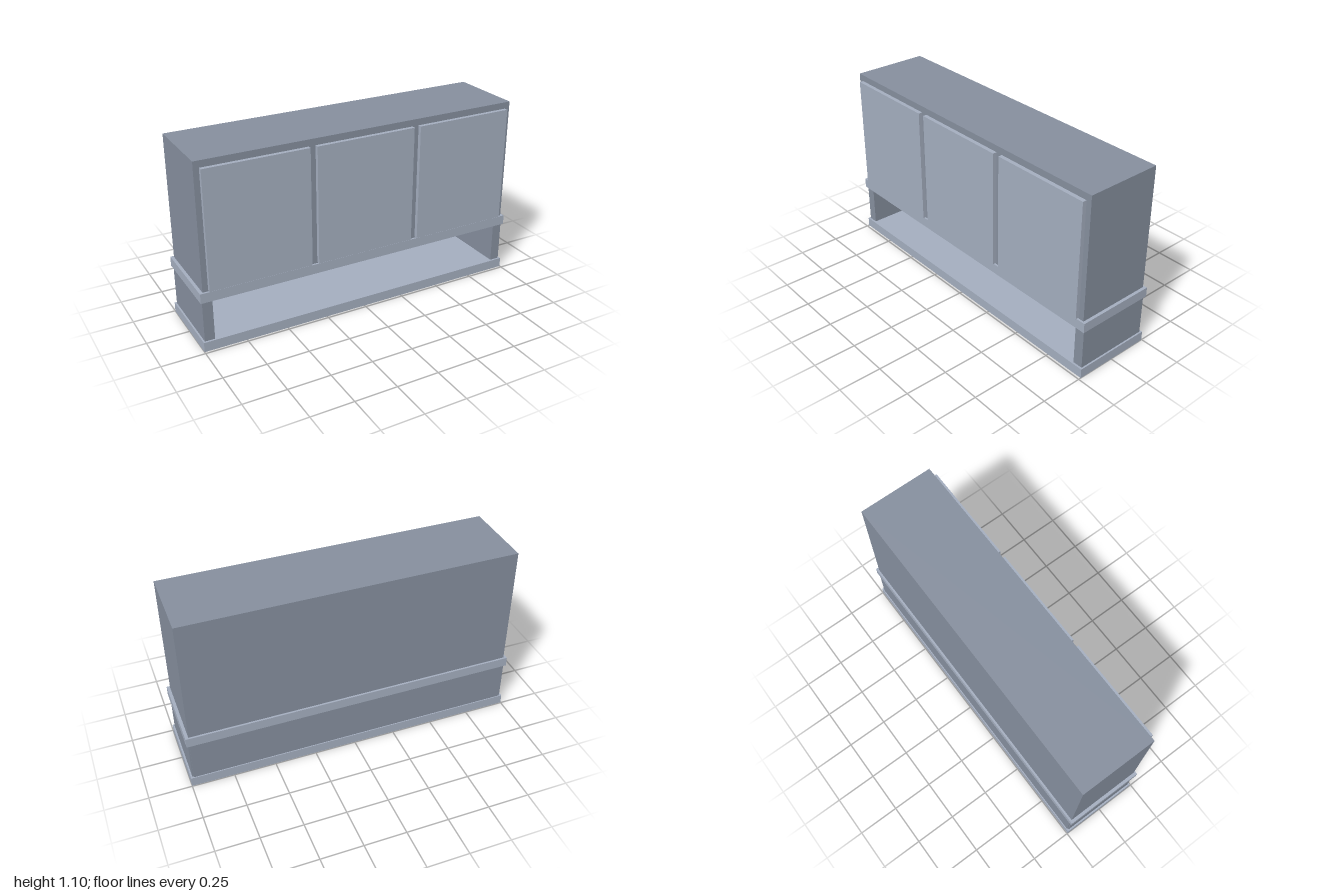
import * as THREE from 'three';

export function createModel() {
  const group = new THREE.Group();
  const light = new THREE.MeshStandardMaterial({ color: 0xa3adbe });
  const dark = new THREE.MeshStandardMaterial({ color: 0x858e9d });

  // Box given by its limits along each axis
  function addBox(name, material, [x0, x1], [y0, y1], [z0, z1]) {
    const mesh = new THREE.Mesh(new THREE.BoxGeometry(x1 - x0, y1 - y0, z1 - z0), material);
    mesh.name = name;
    mesh.position.set((x0 + x1) / 2, (y0 + y1) / 2, (z0 + z1) / 2);
    group.add(mesh);
  }

  const slabDepth = [-0.247, 0.235];
  const bodyDepth = [-0.235, 0.223];

  // Base and shelf slabs around the open compartment
  addBox('baseSlab', light, [-1, 1], [0, 0.058], slabDepth);
  addBox('shelfSlab', light, [-1, 1], [0.302, 0.36], slabDepth);

  // Compartment sides and thin back
  addBox('leftSidePanel', dark, [0.931, 0.99], [0.058, 0.302], bodyDepth);
  addBox('rightSidePanel', dark, [-0.99, -0.931], [0.058, 0.302], bodyDepth);
  addBox('backPanel', dark, [-0.982, 0.982], [0.058, 0.302], [-0.241, -0.229]);

  // Upper cabinet
  addBox('cabinetBody', dark, [-0.982, 0.982], [0.36, 1.102], bodyDepth);

  // Three equal doors standing proud of the front
  ['rightDoor', 'middleDoor', 'leftDoor'].forEach((name, i) => {
    const x = (i - 1) * 0.647;
    addBox(name, light, [x - 0.303, x + 0.303], [0.368, 1.063], [0.223, 0.247]);
  });

  return group;
}
